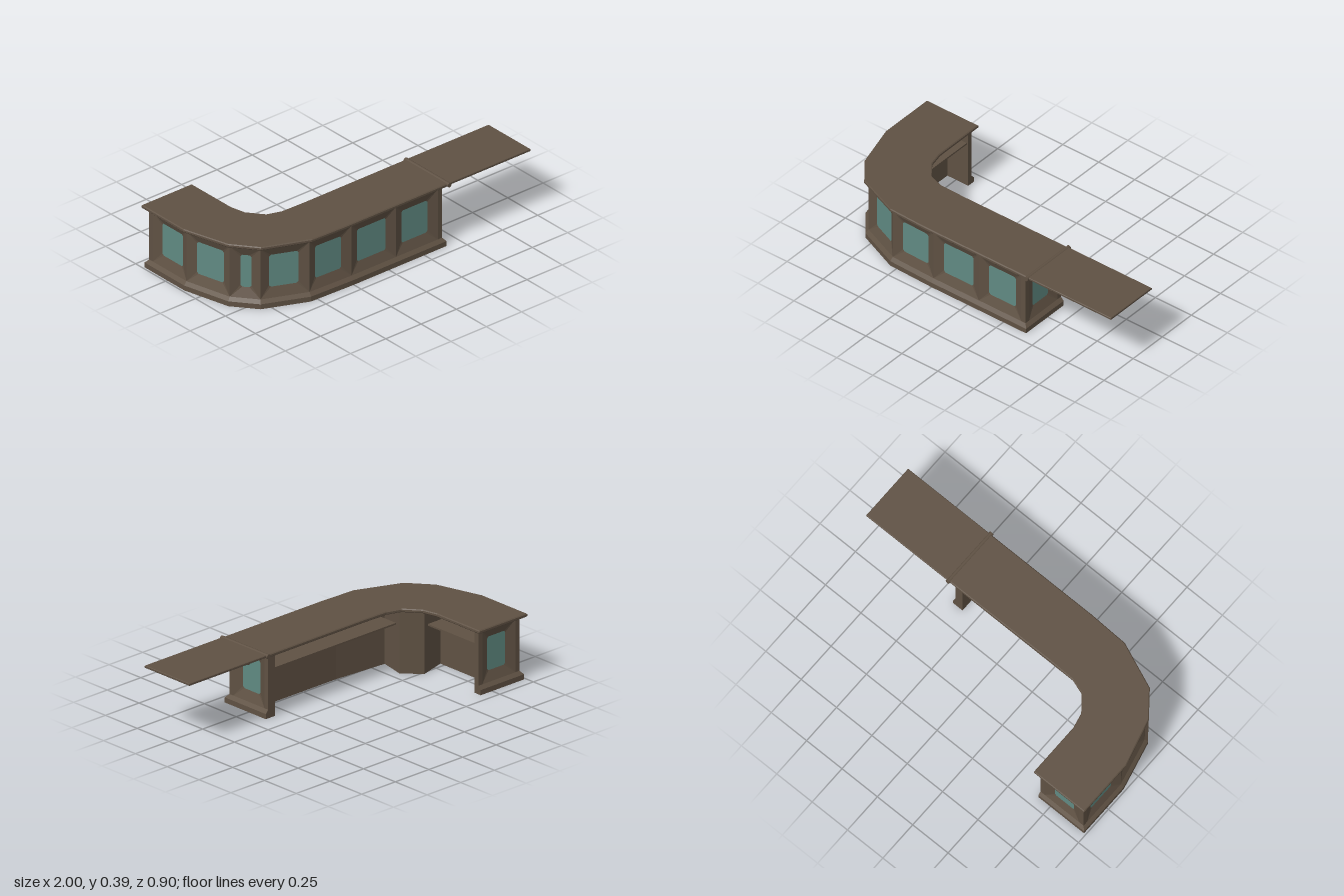
import * as THREE from 'three';

const wood = new THREE.MeshStandardMaterial({ color: 0x5f5143, side: THREE.DoubleSide });
wood.name = 'dark wood';
const glass = new THREE.MeshStandardMaterial({ color: 0x608a82, side: THREE.DoubleSide });
glass.name = 'teal glass';

// Outer line of the counter body as [x, z], from the flap end round to the short end
const OUTER = [[0.39, 0.115], [0.39, 0.42], [0.065, 0.42], [-0.25, 0.42], [-0.54, 0.41],
  [-0.795, 0.302], [-0.902, 0.17], [-0.97, -0.11], [-0.97, -0.422], [-0.665, -0.422]];
// Serving side: end stiles, recessed walls and the diagonal corner pillar
const INNER = [[0.39, 0.115], [0.34, 0.115], [0.34, 0.26], [-0.25, 0.26], [-0.59, 0.235], [-0.555, 0.08],
  [-0.65, -0.015], [-0.81, 0.03], [-0.81, -0.392], [-0.665, -0.392], [-0.665, -0.422]];
const TOP = 0.367, PLINTH = 0.05;

// Flat-faced mesh from convex polygons
function polyMesh(name, polys, material) {
  const pos = [];
  for (const p of polys)
    for (let i = 1; i < p.length - 1; i++) pos.push(...p[0], ...p[i], ...p[i + 1]);
  const g = new THREE.BufferGeometry();
  g.setAttribute('position', new THREE.Float32BufferAttribute(pos, 3));
  g.computeVertexNormals();
  const m = new THREE.Mesh(g, material);
  m.name = name;
  return m;
}

// Band of quads between two lines of [x, z] at two heights
function band(low, y0, high, y1) {
  const polys = [];
  for (let i = 0; i < low.length - 1; i++) {
    const [a, b, c, d] = [low[i], high[i], high[i + 1], low[i + 1]];
    polys.push([[a[0], y0, a[1]], [b[0], y1, b[1]], [c[0], y1, c[1]], [d[0], y0, d[1]]]);
  }
  return polys;
}

// Push a line outwards with mitred corners
function offset(line, amount) {
  const normal = (a, b) => {
    const l = Math.hypot(b[0] - a[0], b[1] - a[1]);
    return [(b[1] - a[1]) / l, -(b[0] - a[0]) / l];
  };
  const last = line.length - 1;
  return line.map((p, i) => {
    const before = Math.max(i - 1, 0), after = Math.min(i, last - 1);
    const n1 = normal(line[before], line[before + 1]);
    const n2 = normal(line[after], line[after + 1]);
    const k = amount / (1 + n1[0] * n2[0] + n1[1] * n2[1]);
    return [p[0] + (n1[0] + n2[0]) * k, p[1] + (n1[1] + n2[1]) * k];
  });
}

// One bay: posts, a bevelled frame sloping inwards, and a pane with clipped corners
function windowBay(a, b, postA, postB) {
  const len = Math.hypot(b[0] - a[0], b[1] - a[1]);
  const dx = (b[0] - a[0]) / len, dz = (b[1] - a[1]) / len;
  const at = (u, y, d) => [a[0] + dx * u - dz * d, y, a[1] + dz * u + dx * d];
  const depth = 0.022, margin = 0.055, c = 0.01;
  const u0 = postA, u1 = len - postB, y0 = PLINTH, y1 = 0.36;
  const g0 = u0 + margin, g1 = u1 - margin, h0 = 0.107, h1 = 0.305;
  const rect = [[u0, y0], [u0, y1], [u1, y1], [u1, y0]].map(p => at(...p, 0));
  const pane = [[g0 + c, h0], [g0, h0 + c], [g0, h1 - c], [g0 + c, h1],
    [g1 - c, h1], [g1, h1 - c], [g1, h0 + c], [g1 - c, h0]].map(p => at(...p, depth));
  const flat = (s, e, lo, hi) => [at(s, lo, 0), at(s, hi, 0), at(e, hi, 0), at(e, lo, 0)];
  const frame = [flat(0, len, y1, TOP)];
  if (postA) frame.push(flat(0, u0, y0, y1));
  if (postB) frame.push(flat(u1, len, y0, y1));
  for (let i = 0; i < 4; i++) {
    const j = (i + 1) % 4;
    frame.push([rect[i], rect[j], pane[2 * j], pane[2 * i + 1]]);
    frame.push([rect[i], pane[2 * i + 1], pane[2 * i]]);
  }
  const bay = new THREE.Group();
  bay.name = 'windowBay';
  bay.add(polyMesh('bevelledFrame', frame, wood), polyMesh('windowPane', [pane], glass));
  return bay;
}

function box(name, x0, x1, y0, y1, z0, z1) {
  const m = new THREE.Mesh(new THREE.BoxGeometry(x1 - x0, y1 - y0, z1 - z0), wood);
  m.position.set((x0 + x1) / 2, (y0 + y1) / 2, (z0 + z1) / 2);
  m.name = name;
  return m;
}

// Horizontal slab from an [x, z] outline, with slightly bevelled edges
function slab(name, outline, y0, y1, bevel) {
  const shape = new THREE.Shape(outline.map(([x, z]) => new THREE.Vector2(x, -z)));
  const g = new THREE.ExtrudeGeometry(shape, {
    depth: y1 - y0 - 2 * bevel, bevelEnabled: true, bevelThickness: bevel,
    bevelSize: bevel, bevelOffset: -bevel, bevelSegments: 1,
  });
  g.rotateX(-Math.PI / 2).translate(0, y0 + bevel, 0);
  const m = new THREE.Mesh(g, wood);
  m.name = name;
  return m;
}

export function createModel() {
  const model = new THREE.Group();
  model.name = 'barCounter';

  // Windowed outer bays, with square posts only at the true corners
  const last = OUTER.length - 2;
  for (let i = 0; i <= last; i++) {
    const postA = i <= 1 || i === last ? 0.03 : 0;
    const postB = i === 0 || i >= last - 1 ? 0.03 : 0;
    model.add(windowBay(OUTER[i], OUTER[i + 1], postA, postB));
  }

  // Flared plinth, closed at both ends
  const foot = offset(OUTER, 0.018);
  const plinth = [...band(foot, 0, foot, 0.03), ...band(foot, 0.03, OUTER, PLINTH)];
  for (const i of [0, OUTER.length - 1]) {
    const [p, f] = [OUTER[i], foot[i]];
    const end = [[p[0], 0, p[1]], [p[0], PLINTH, p[1]], [f[0], 0.03, f[1]], [f[0], 0, f[1]]];
    plinth.push(i ? end.reverse() : end);
  }
  model.add(polyMesh('plinth', plinth, wood));

  // Serving side walls and shelves
  const inner = [...INNER].reverse();
  model.add(polyMesh('innerWall', band(inner, 0, inner, TOP), wood));
  model.add(box('longShelf', -0.56, 0.34, 0.275, 0.285, 0.115, 0.25));
  model.add(box('shortShelf', -0.81, -0.675, 0.275, 0.285, -0.392, -0.015));

  // Countertop with its rounded corner
  model.add(slab('countertop', [[0.415, 0.09], [0.415, 0.441], [-0.3, 0.441], [-0.54, 0.432],
    [-0.81, 0.322], [-0.923, 0.18], [-1, -0.1], [-1, -0.452], [-0.643, -0.452], [-0.642, -0.12],
    [-0.622, -0.03], [-0.55, 0.06], [-0.465, 0.088], [-0.3, 0.092]].reverse(), 0.366, 0.387, 0.005));

  // Lifting flap, hinge and curved support bracket
  model.add(slab('flap', [[0.42, 0.09], [0.42, 0.441], [1, 0.441], [1, 0.09]], 0.372, 0.387, 0.003));
  const hinge = new THREE.Mesh(new THREE.CylinderGeometry(0.013, 0.013, 0.37, 10), wood);
  hinge.rotation.x = Math.PI / 2;
  hinge.position.set(0.418, 0.379, 0.266);
  hinge.name = 'hinge';
  model.add(hinge);

  const arm = new THREE.Shape();
  arm.moveTo(0.388, 0.27);
  arm.lineTo(0.408, 0.274);
  arm.quadraticCurveTo(0.478, 0.295, 0.495, 0.37);
  arm.lineTo(0.448, 0.37);
  arm.quadraticCurveTo(0.438, 0.325, 0.388, 0.312);
  const bracket = new THREE.Mesh(
    new THREE.ExtrudeGeometry(arm, { depth: 0.014, bevelEnabled: false, curveSegments: 5 }), wood);
  bracket.position.z = 0.26;
  bracket.name = 'flapBracket';
  model.add(bracket, box('bracketPlate', 0.44, 0.5, 0.365, 0.374, 0.243, 0.291));

  return model;
}
